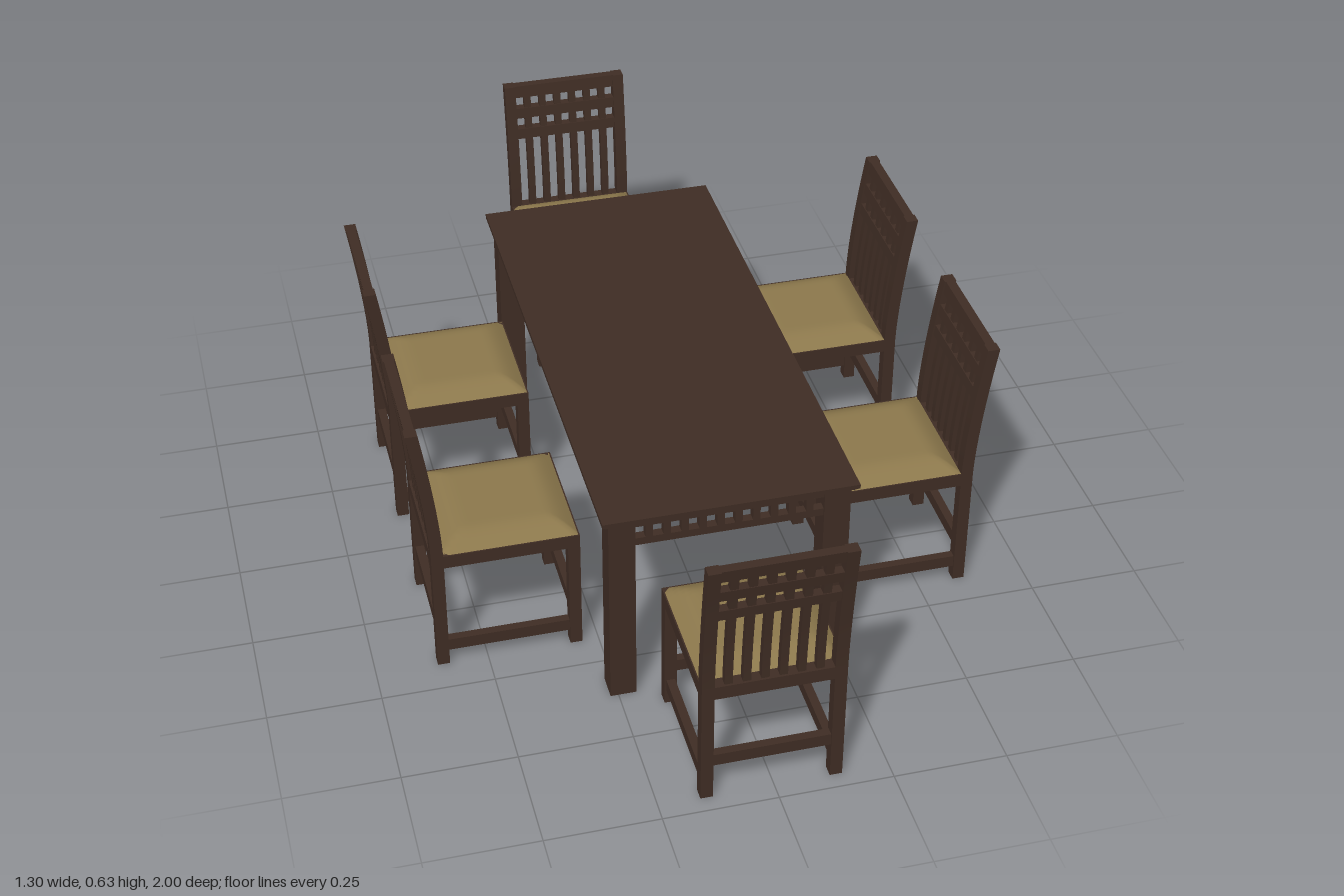
import * as THREE from 'three';

const wood = new THREE.MeshStandardMaterial({ color: 0x3f2d24 });
wood.name = 'darkWood';
const fabric = new THREE.MeshStandardMaterial({ color: 0x8c784c });
fabric.name = 'tanFabric';

// Box given by its min and max corners
function bar(parent, name, x0, x1, y0, y1, z0, z1) {
  const g = new THREE.BoxGeometry(x1 - x0, y1 - y0, z1 - z0);
  g.translate((x0 + x1) / 2, (y0 + y1) / 2, (z0 + z1) / 2);
  const m = new THREE.Mesh(g, wood);
  m.name = name;
  parent.add(m);
  return m;
}

// Chair dimensions: local front edge at z = 0, back towards -z
const W = 0.307, D = 0.326, H = 0.63, LEG = 0.027;
const SEAT_LOW = 0.27, SEAT_TOP = 0.302;

// Box that follows the backward sweep of the chair back
function sweptBar(parent, name, x0, x1, y0, y1, z0, z1) {
  const segs = Math.max(1, Math.ceil((y1 - y0) / 0.035));
  const g = new THREE.BoxGeometry(x1 - x0, y1 - y0, z1 - z0, 1, segs, 1);
  g.translate((x0 + x1) / 2, (y0 + y1) / 2, (z0 + z1) / 2);
  const p = g.attributes.position;
  for (let i = 0; i < p.count; i++) {
    const t = Math.max(0, (p.getY(i) - SEAT_TOP) / (H - SEAT_TOP));
    p.setZ(i, p.getZ(i) - 0.037 * Math.pow(t, 1.5));
  }
  g.computeVertexNormals();
  const m = new THREE.Mesh(g, wood);
  m.name = name;
  parent.add(m);
}

// Padded seat: flat base, top rounded off towards all four edges
function cushion(parent) {
  const w = W - 0.006, d = D - LEG - 0.003, base = 0.281;
  const g = new THREE.BoxGeometry(w, SEAT_TOP - base, d, 24, 1, 24);
  const p = g.attributes.position;
  for (let i = 0; i < p.count; i++) {
    if (p.getY(i) < 0) continue;
    const edge = Math.min(w / 2 - Math.abs(p.getX(i)), d / 2 - Math.abs(p.getZ(i)));
    const t = Math.min(1, Math.max(0, edge) / 0.06);
    p.setY(i, p.getY(i) + 0.026 * Math.sin(t * Math.PI / 2));
  }
  g.computeVertexNormals();
  g.translate(0, (SEAT_TOP + base) / 2, -d / 2 - 0.003);
  const m = new THREE.Mesh(g, fabric);
  m.name = 'seatCushion';
  parent.add(m);
}

function createChair() {
  const chair = new THREE.Group();
  const h = W / 2, inner = h - LEG, back = -D;

  // Legs, back posts, side rails and side stretchers
  for (const s of [-1, 1]) {
    const x0 = s < 0 ? -h : inner, x1 = x0 + LEG;
    bar(chair, 'frontLeg', x0, x1, 0, SEAT_TOP, -LEG, 0);
    bar(chair, 'backLeg', x0, x1, 0, SEAT_TOP, back, back + LEG);
    sweptBar(chair, 'backPost', x0, x1, SEAT_TOP, H, back, back + LEG);
    bar(chair, 'sideSeatRail', x0, x1, SEAT_LOW, SEAT_TOP, back + LEG, -LEG);
    bar(chair, 'sideStretcher', x0 + 0.004, x1 - 0.004, 0.035, 0.064, back + LEG, -LEG);
  }

  // Front and back seat rails and stretchers
  for (const z of [back, -LEG]) {
    bar(chair, 'seatRail', -inner, inner, SEAT_LOW, SEAT_TOP, z, z + LEG);
    bar(chair, 'crossStretcher', -inner, inner, 0.084, 0.113, z + 0.004, z + LEG - 0.004);
  }
  cushion(chair);

  // Lattice back: three rails crossed by six slats
  for (const [y0, y1] of [[0.6, H], [0.545, 0.571], [0.49, 0.516]])
    sweptBar(chair, 'backRail', -inner, inner, y0, y1, back + 0.003, back + LEG - 0.003);
  const pitch = (2 * inner + 0.017) / 7;
  for (let i = 1; i < 7; i++) {
    const x = -inner - 0.0085 + i * pitch;
    sweptBar(chair, 'backSlat', x - 0.0085, x + 0.0085, SEAT_TOP - 0.005, 0.605, back + 0.005, back + LEG - 0.005);
  }
  return chair;
}

// Pierced apron running along local x, centred on z = 0
function createApron(length, windows) {
  const apron = new THREE.Group();
  const l = length / 2, t = 0.01, solid = 0.016;
  bar(apron, 'apronTopRail', -l, l, 0.455, 0.474, -t, t);
  bar(apron, 'apronBottomRail', -l, l, 0.407, 0.425, -t, t);
  const pitch = (length + solid) / windows;
  for (let i = 1; i < windows; i++) {
    const x = -l - solid / 2 + i * pitch;
    bar(apron, 'apronBar', x - solid / 2, x + solid / 2, 0.425, 0.455, -t, t);
  }
  return apron;
}

function createTable() {
  const table = new THREE.Group();
  table.name = 'table';
  const lx = 0.263, lz = 0.611, leg = 0.058;

  // Top with a slimmer lip beneath
  bar(table, 'tableTop', -0.278, 0.278, 0.478, 0.488, -0.625, 0.625);
  bar(table, 'tableTopLip', -0.271, 0.271, 0.471, 0.478, -0.618, 0.618);

  // Legs
  for (const sx of [-1, 1]) for (const sz of [-1, 1]) {
    const x = sx * (lx - leg / 2), z = sz * (lz - leg / 2), r = leg / 2;
    bar(table, 'tableLeg', x - r, x + r, 0, 0.472, z - r, z + r);
  }

  // Aprons on all four sides
  for (const s of [-1, 1]) {
    const end = createApron(2 * (lx - leg), 11);
    end.name = 'endApron';
    end.position.z = s * (lz - 0.014);
    const side = createApron(2 * (lz - leg), 27);
    side.name = 'sideApron';
    side.rotation.y = Math.PI / 2;
    side.position.x = s * (lx - 0.014);
    table.add(end, side);
  }
  table.position.set(-0.005, 0, 0.004);
  return table;
}

export function createModel() {
  const model = new THREE.Group();
  model.name = 'diningSet';
  model.add(createTable());

  // Chair places: name, x and z of the seat front, turn about y
  const q = Math.PI / 2;
  const places = [
    ['frontChair', -0.006, 0.637, Math.PI],
    ['backChair', -0.006, -0.637, 0],
    ['leftFrontChair', 0.285, 0.27, -q],
    ['leftBackChair', 0.285, -0.272, -q],
    ['rightFrontChair', -0.287, 0.27, q],
    ['rightBackChair', -0.287, -0.272, q],
  ];
  for (const [name, x, z, turn] of places) {
    const chair = createChair();
    chair.name = name;
    chair.position.set(x, 0, z);
    chair.rotation.y = turn;
    model.add(chair);
  }
  return model;
}
